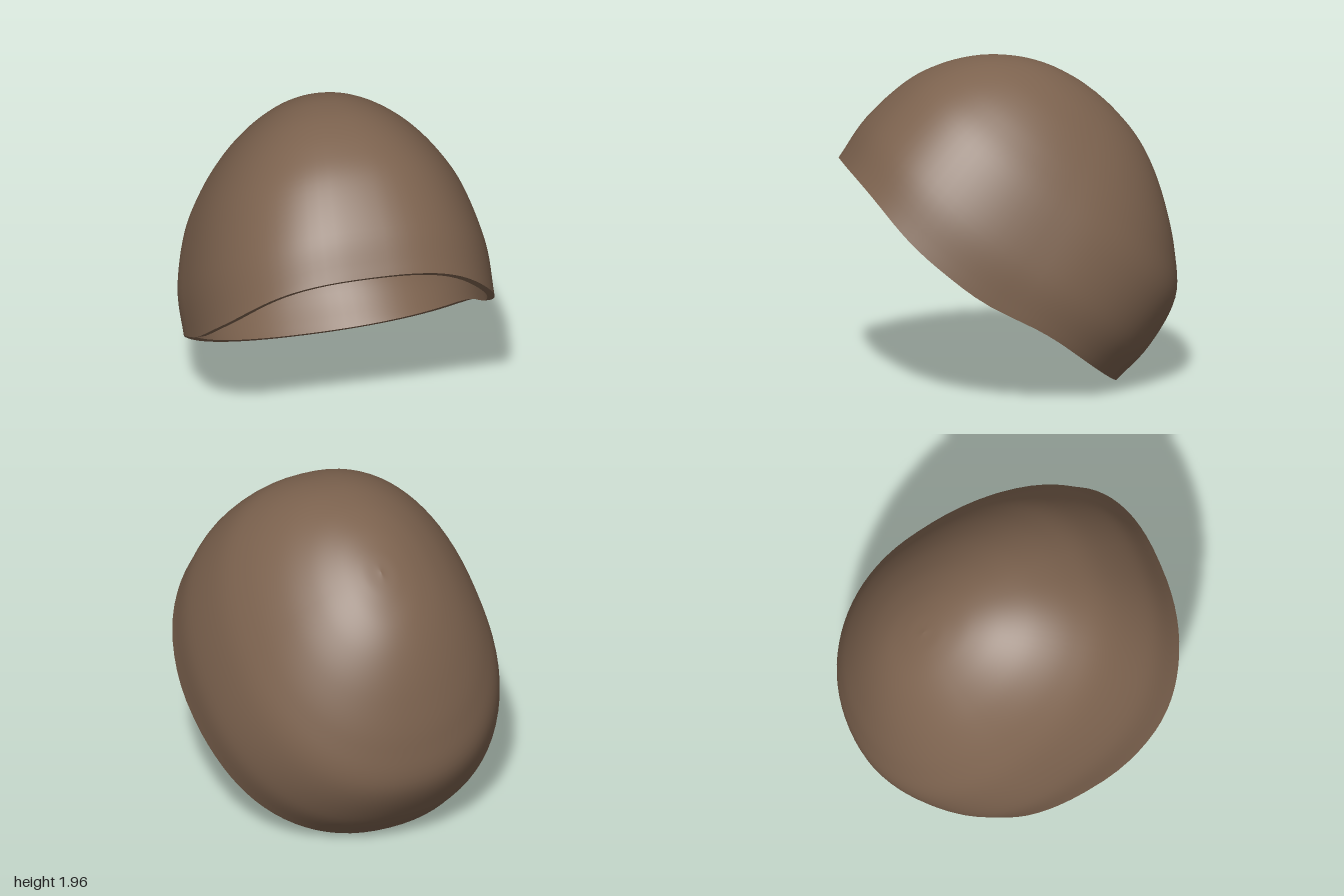
import * as THREE from 'three';

// Dome sections parallel to the tilted rim: [height, front reach, back reach, half width]
const SECTIONS = [
  [0, 1.06, -1.058, 0.915], [0.28, 1.088, -1.085, 0.91], [0.6, 1.045, -1.03, 0.825],
  [0.82, 0.95, -0.845, 0.705], [1.0, 0.81, -0.625, 0.555], [1.13, 0.64, -0.42, 0.395],
  [1.21, 0.465, -0.23, 0.245], [1.25, 0.285, -0.03, 0.115], [1.262, 0.13, 0.13, 0],
];
const RINGS = 48, AROUND = 80;
const reach = new THREE.CatmullRomCurve3(
  SECTIONS.map(([n, f, b]) => new THREE.Vector3(n, f, b)), false, 'catmullrom');
const width = new THREE.SplineCurve(SECTIONS.map(([n, , , w]) => new THREE.Vector2(n, w)));

const power = (v, e) => Math.sign(v) * Math.abs(v) ** e;

// Point on the shell; t runs from rim to crown, a runs round from the front
function shellPoint(t, a, scale) {
  const { x: n, y: front, z: back } = reach.getPoint(t);
  const w = Math.max(0, width.getPoint(t).y);
  // Brow is squarer than the nape, and the crown is round
  const e = 2 / (2 + (Math.cos(a) > 0 ? 0.4 : 0.2) * (1 - t));
  const centre = -0.1 + 0.23 * Math.min(1, n / 1.262) ** 2;
  const c = power(Math.cos(a), e);
  const u = centre + c * (c > 0 ? front - centre : centre - back);
  // The rim sags at the temples
  const sag = 0.108 * Math.exp(-(Math.abs((u - 0.36) / 0.56) ** 3)) * (1 - t) ** 4;
  const U = u * scale, N = n * scale - sag;
  return [
    w * power(Math.sin(a), e) * scale,
    0.675 + 0.64 * U + 0.768 * N,
    0.19 + 0.768 * U - 0.64 * N,
  ];
}

// Join closed loops of points into a smooth skin
function skin(rows, flip = false) {
  const index = [];
  for (let i = 0; i < rows.length - 1; i++) {
    for (let j = 0; j < AROUND; j++) {
      const k = (j + 1) % AROUND;
      const a = i * AROUND + j, b = i * AROUND + k;
      const c = b + AROUND, d = a + AROUND;
      if (flip) index.push(a, c, b, a, d, c);
      else index.push(a, b, c, a, c, d);
    }
  }
  const geometry = new THREE.BufferGeometry();
  geometry.setAttribute('position', new THREE.Float32BufferAttribute(rows.flat(2), 3));
  geometry.setIndex(index);
  geometry.computeVertexNormals();
  return geometry;
}

const loop = (t, scale) => Array.from({ length: AROUND },
  (_, j) => shellPoint(t, (j / AROUND) * Math.PI * 2, scale));
const dome = (scale) => Array.from({ length: RINGS + 1 }, (_, i) => loop(i / RINGS, scale));

export function createModel() {
  const group = new THREE.Group();
  group.name = 'domeShell';
  const brown = new THREE.MeshStandardMaterial({ color: 0x7d634f });
  brown.name = 'brown';

  const add = (name, geometry) => {
    const mesh = new THREE.Mesh(geometry, brown);
    mesh.name = name;
    group.add(mesh);
  };
  const INNER = 0.953;
  add('outerShell', skin(dome(1)));
  add('innerLining', skin(dome(INNER), true));
  add('rim', skin([loop(0, INNER), loop(0, 1)]));
  return group;
}
